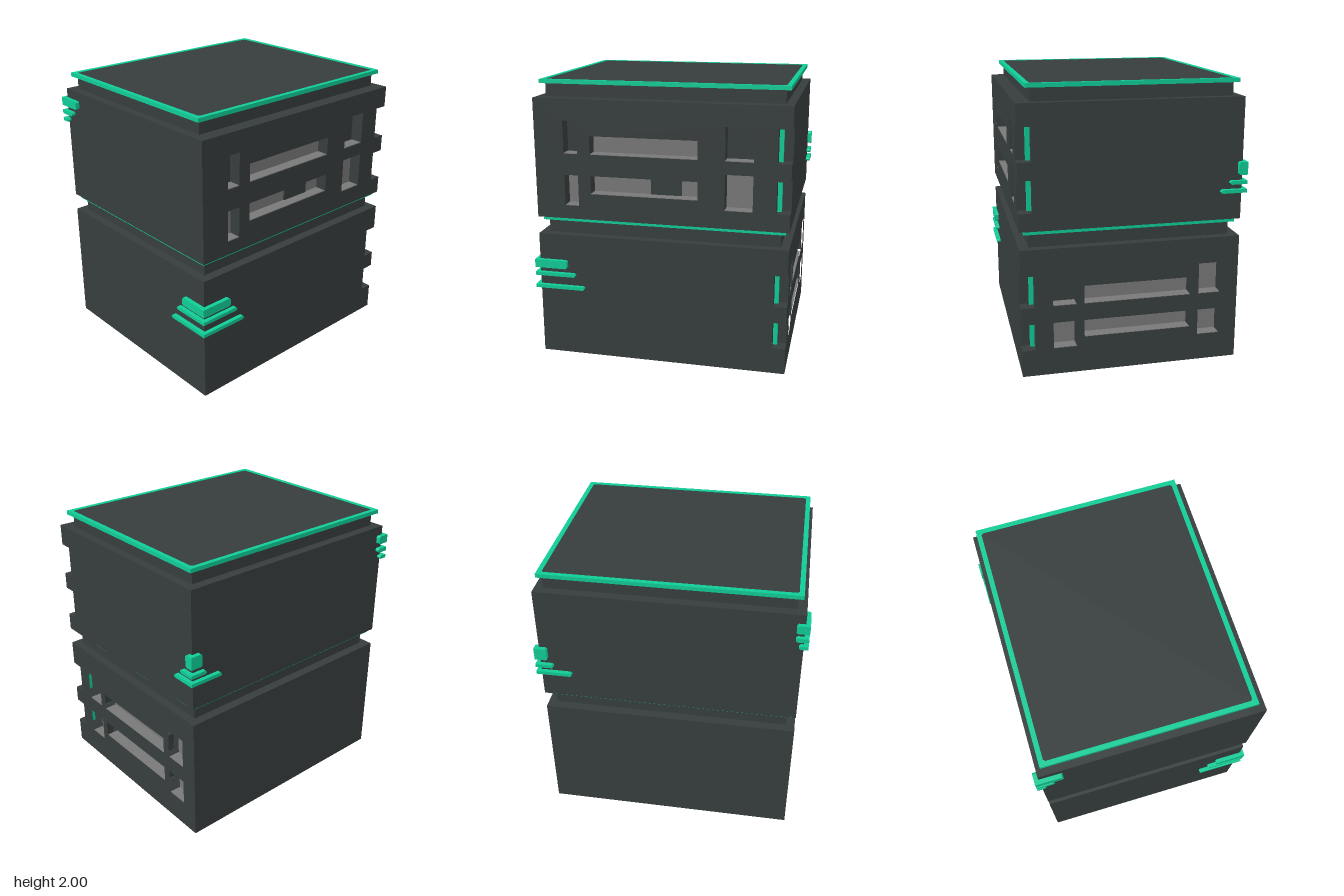
import * as THREE from 'three';

const dark = new THREE.MeshStandardMaterial({ color: 0x373d3d });
dark.name = 'charcoal';
const teal = new THREE.MeshStandardMaterial({ color: 0x10cc96 });
teal.name = 'teal';
const grey = new THREE.MeshStandardMaterial({ color: 0x787878 });
grey.name = 'window grey';

const W = 0.89, D = 0.767;      // half width and half depth of both blocks
const RECESS = 0.093;           // depth of windows and corner notches

function add(parent, name, geometry, material) {
  const mesh = new THREE.Mesh(geometry, material);
  mesh.name = name;
  parent.add(mesh);
  return mesh;
}

// box given by its extents
function box(parent, name, material, x0, x1, y0, y1, z0, z1) {
  const mesh = add(parent, name, new THREE.BoxGeometry(x1 - x0, y1 - y0, z1 - z0), material);
  mesh.position.set((x0 + x1) / 2, (y0 + y1) / 2, (z0 + z1) / 2);
  return mesh;
}

function polygon(points) {
  return new THREE.Shape(points.map(([x, y]) => new THREE.Vector2(x, y)));
}

function extrude(shape, z0, z1) {
  return new THREE.ExtrudeGeometry(shape, { depth: z1 - z0, bevelEnabled: false }).translate(0, 0, z0);
}

// wall with window holes and notches cut in one upright edge (side = 1 or -1)
function windowWall(name, half, side, y0, y1, front, notches, windows) {
  const group = new THREE.Group();
  group.name = name;
  const back = front - RECESS, inner = half - RECESS;
  const outline = [[-half, y0], [half, y0]];
  for (const [a, b] of notches) outline.push([half, a], [inner, a], [inner, b], [half, b]);
  outline.push([half, y1], [-half, y1]);
  const shape = polygon(outline.map(([u, y]) => [u * side, y]));
  for (const [a, b, c, d] of windows) shape.holes.push(polygon([[a, c], [a, d], [b, d], [b, c]]));
  add(group, 'wallPanel', extrude(shape, back, front), dark);
  // pane at the back of each recess, and its sill
  for (const [a, b, c, d, pane] of windows) {
    if (pane === grey) box(group, 'windowPane', grey, a, b, c, d, back, back + 0.006);
    box(group, 'windowSill', grey, a, b, c, c + 0.004, back + 0.006, front - 0.004);
  }
  return group;
}

// rectangular trim ring lying flat
function trimRing(parent, name, y0, y1, x, z0, z1, border) {
  const shape = polygon([[-x, -z1], [x, -z1], [x, -z0], [-x, -z0]]);
  const ix = x - border, a = -z1 + border, b = -z0 - border, c = 0.012;
  shape.holes.push(polygon([[-ix + c, a], [-ix, a + c], [-ix, b - c], [-ix + c, b],
    [ix - c, b], [ix, b - c], [ix, a + c], [ix - c, a]]));
  add(parent, name, extrude(shape, y0, y1).rotateX(-Math.PI / 2), teal);
}

// bar outline from u0 to u1, chamfered at the u1 end
function barShape(u0, u1, y0, y1) {
  const c = Math.sign(u1 - u0) * 0.01;
  return polygon([[u0, y0], [u1 - c, y0], [u1, y0 + 0.01], [u1, y1 - 0.01], [u1 - c, y1], [u0, y1]]);
}

// bars [y0, y1, end in x, end in z] wrapped around the corner (sx, sz)
function cornerBracket(parent, name, sx, sz, bars) {
  const group = new THREE.Group();
  group.name = name;
  const X = 0.92 * sx, Z = 0.797 * sz, zi = D * sz, xi = W * sx;
  for (const [y0, y1, xEnd, zEnd] of bars) {
    add(group, 'bracketBar', extrude(barShape(X, xEnd, y0, y1), Math.min(Z, zi), Math.max(Z, zi)), teal);
    const leg = extrude(barShape(-zi, -zEnd, y0, y1), Math.min(X, xi), Math.max(X, xi));
    add(group, 'bracketBar', leg.rotateY(Math.PI / 2), teal);
  }
  parent.add(group);
}

export function createModel() {
  const model = new THREE.Group();
  model.name = 'stackedCrates';
  const lowNotches = [[0.19, 0.38], [0.5, 0.725]];
  const highNotches = [[1.16, 1.38], [1.5, 1.73]];

  // lower crate: windows on the left (+x) side
  const lower = new THREE.Group();
  lower.name = 'lowerCrate';
  model.add(lower);
  box(lower, 'lowerBody', dark, -W, W - RECESS, 0, 0.91, -D, D);
  const sideWall = windowWall('sideWall', D, -1, 0, 0.91, W, lowNotches, [
    [-0.55, -0.39, 0.5, 0.725, dark], [-0.335, 0.42, 0.5, 0.63, grey], [0.48, 0.64, 0.5, 0.725, grey],
    [-0.55, -0.39, 0.19, 0.38, grey], [-0.335, 0.42, 0.255, 0.38, grey], [0.48, 0.64, 0.19, 0.38, grey],
  ]);
  sideWall.rotation.y = Math.PI / 2;
  lower.add(sideWall);
  box(lower, 'lowerNeck', dark, -0.83, 0.83, 0.91, 1.034, -0.702, 0.702);
  trimRing(lower, 'lowerTrim', 1.006, 1.035, 0.863, -0.735, 0.735, 0.033);

  // upper crate: windows on the front
  const upper = new THREE.Group();
  upper.name = 'upperCrate';
  model.add(upper);
  box(upper, 'upperBody', dark, -W, W, 1.035, 1.88, -D, D - RECESS);
  upper.add(windowWall('frontWall', W, 1, 1.035, 1.88, D, highNotches, [
    [-0.68, -0.58, 1.5, 1.73, dark], [-0.49, 0.265, 1.5, 1.63, grey], [0.45, 0.64, 1.5, 1.73, dark],
    [-0.68, -0.58, 1.13, 1.35, grey], [-0.49, 0.265, 1.22, 1.35, grey], [0.45, 0.64, 1.16, 1.41, grey],
  ]));
  box(upper, 'windowBlank', dark, -0.08, 0.14, 1.22, 1.35, D - RECESS, D - RECESS + 0.015);
  box(upper, 'upperNeck', dark, -0.83, 0.83, 1.88, 1.997, -0.702, 0.67);
  trimRing(upper, 'upperTrim', 1.972, 2, 0.863, -0.735, 0.703, 0.033);

  // light strips in the corner notches
  const sx = W - RECESS, sz = D - RECESS;
  for (const [a, b] of [...lowNotches, ...highNotches])
    box(model, 'notchStrip', teal, sx, sx + 0.03, a, b, sz, sz + 0.03);

  // brackets at three corners
  cornerBracket(model, 'frontBracket', -1, 1, [
    [0.66, 0.72, -0.68, 0.57], [0.6, 0.625, -0.62, 0.51], [0.505, 0.53, -0.555, 0.45]]);
  cornerBracket(model, 'backLeftBracket', 1, -1, [
    [1.35, 1.44, 0.83, -0.735], [1.285, 1.31, 0.795, -0.675], [1.225, 1.25, 0.67, -0.61]]);
  cornerBracket(model, 'backRightBracket', -1, -1, [
    [1.755, 1.815, -0.835, -0.61], [1.69, 1.72, -0.835, -0.675], [1.635, 1.66, -0.86, -0.735]]);
  return model;
}
